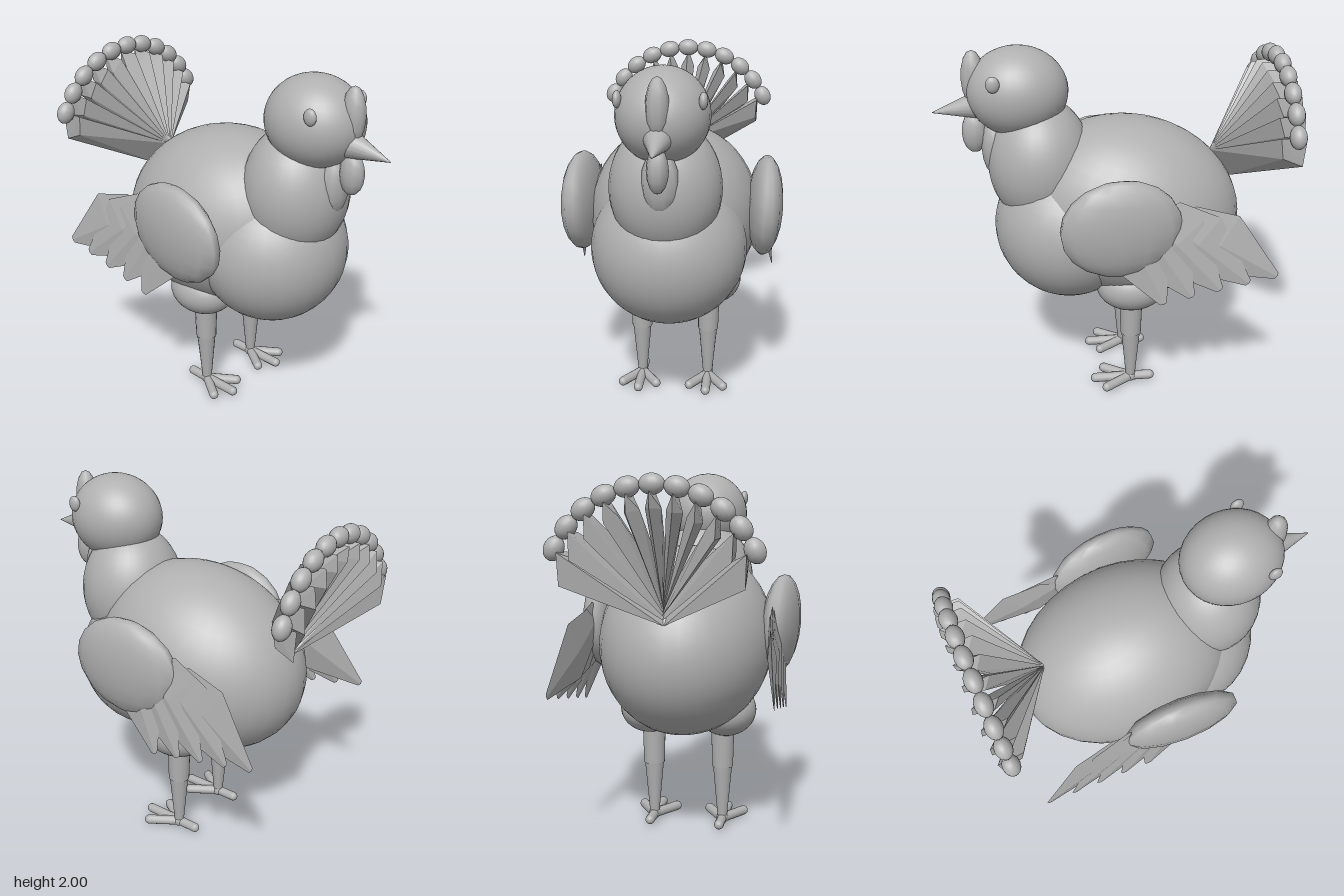
import * as THREE from 'three';
import { ConvexGeometry } from 'three/addons/geometries/ConvexGeometry.js';

const grey = new THREE.MeshStandardMaterial({ color: 0xb0b0b0 });
grey.name = 'plain grey';

export function createModel() {
  const root = new THREE.Group();
  root.name = 'turkey';

  const add = (name, geometry, parent = root) => {
    const mesh = new THREE.Mesh(geometry, grey);
    mesh.name = name;
    parent.add(mesh);
    return mesh;
  };
  const ellipsoid = (name, [x, y, z], [rx, ry, rz], parent = root, w = 32, h = 24) => {
    const mesh = add(name, new THREE.SphereGeometry(1, w, h), parent);
    mesh.position.set(x, y, z);
    mesh.scale.set(rx, ry, rz);
    return mesh;
  };
  // tapered rod between two points
  const rod = (name, a, b, ra, rb, parent = root) => {
    const from = new THREE.Vector3(...a), to = new THREE.Vector3(...b);
    const dir = to.clone().sub(from);
    const mesh = add(name, new THREE.CylinderGeometry(rb, ra, dir.length(), 16), parent);
    mesh.position.copy(from).lerp(to, 0.5);
    mesh.quaternion.setFromUnitVectors(new THREE.Vector3(0, 1, 0), dir.normalize());
    return mesh;
  };

  // Trunk, neck and head
  ellipsoid('body', [0, 1.075, -0.1], [0.48, 0.51, 0.625]).rotation.x = -0.26;
  ellipsoid('breast', [0, 0.98, 0.245], [0.425, 0.422, 0.42]);
  ellipsoid('neck', [0, 1.36, 0.4], [0.295, 0.36, 0.285]);
  ellipsoid('head', [0, 1.76, 0.505], [0.238, 0.24, 0.27]);
  rod('beak', [0, 1.69, 0.72], [0, 1.655, 0.96], 0.075, 0.002);
  ellipsoid('comb', [0, 1.835, 0.735], [0.058, 0.15, 0.065], root, 10, 8);
  ellipsoid('upperWattle', [0, 1.54, 0.745], [0.055, 0.115, 0.07], root, 10, 8);
  ellipsoid('lowerWattle', [0, 1.455, 0.645], [0.095, 0.165, 0.07], root, 10, 8);

  // Four-sided leaf with a diamond cross-section, growing along +y from its tip
  const wingFeather = new THREE.LatheGeometry(
    [[0, 0], [0.02, 0.005], [0.185, 0.36], [0.115, 0.58], [0, 0.64]]
      .map(([r, y]) => new THREE.Vector2(r, y)), 4)
    .scale(0.13, 1, 1).toNonIndexed();
  wingFeather.computeVertexNormals();

  // Paired parts
  for (const [side, s] of [['left', 1], ['right', -1]]) {
    ellipsoid(side + 'Eye', [s * 0.207, 1.855, 0.63], [0.022, 0.043, 0.036], root, 16, 12);

    const wing = new THREE.Group();
    wing.name = side + 'Wing';
    root.add(wing);
    const shoulder = ellipsoid('wingShoulder', [s * 0.513, 1.16, 0.01],
      [0.1, 0.275, 0.325], wing, 14, 10);
    shoulder.rotation.set(0, s * 0.06, -s * 0.05);
    for (let i = 0; i < 5; i++) {
      const f = add('wingFeather', wingFeather, wing);
      f.position.set(s * 0.568, 0.735 + i * 0.033, -0.21 - i * 0.151);
      f.rotation.set(THREE.MathUtils.degToRad(24 + i * 8.75), 0, s * 0.13);
    }

    const leg = new THREE.Group();
    leg.name = side + 'Leg';
    leg.position.set(s * 0.2, 0, -0.085);
    root.add(leg);
    ellipsoid('thigh', [s * 0.02, 0.675, 0], [0.168, 0.145, 0.2], leg);
    rod('upperLeg', [0, 0.64, 0], [0, 0.345, 0], 0.068, 0.06, leg);
    rod('shank', [0, 0.35, 0], [0, 0.03, 0], 0.055, 0.026, leg);
    // three toes forward, one back
    for (const [tx, tz] of [[0, 0.21], [0.1, 0.15], [-0.1, 0.15], [0, -0.115]]) {
      const toe = add('toe', new THREE.CapsuleGeometry(0.027, Math.hypot(tx, tz), 6, 12), leg);
      toe.position.set(tx / 2, 0.033, tz / 2);
      toe.quaternion.setFromUnitVectors(
        new THREE.Vector3(0, 1, 0), new THREE.Vector3(tx, 0, tz).normalize());
    }
    ellipsoid('ankle', [0, 0.035, 0], [0.034, 0.035, 0.034], leg, 16, 12);
  }

  // Tail fan: deep blades set edge-on, each ending in a rounded tip
  const tail = new THREE.Group();
  tail.name = 'tail';
  root.add(tail);
  const base = new THREE.Vector3(0, 1.38, -0.545);
  for (let i = -5; i <= 5; i++) {
    const a = i * 0.223;
    const onFan = (r, z) => new THREE.Vector3(r * Math.sin(a), 1.376 + r * Math.cos(a), z);
    const corner = onFan(0.494, -0.815);
    const dir = corner.clone().sub(base).normalize();
    // depth runs down and back, thickness runs around the fan
    const depth = new THREE.Vector3(0, dir.z, -dir.y)
      .setLength(0.15 + 0.01 * Math.abs(i));
    const thick = dir.clone().cross(depth).setLength(0.04);
    const middle = corner.clone().addScaledVector(depth, 0.5).addScaledVector(dir, -0.04);
    add('tailFeather', new ConvexGeometry([
      base, base.clone().add(depth),
      corner, corner.clone().add(depth), onFan(0.5, -0.95),
      middle.clone().add(thick), middle.clone().sub(thick),
    ]), tail);
    const knob = ellipsoid('tailTip', onFan(0.534, -0.89).toArray(),
      [0.063, 0.05, 0.045], tail, 16, 12);
    knob.rotation.z = -a;
  }
  return root;
}
